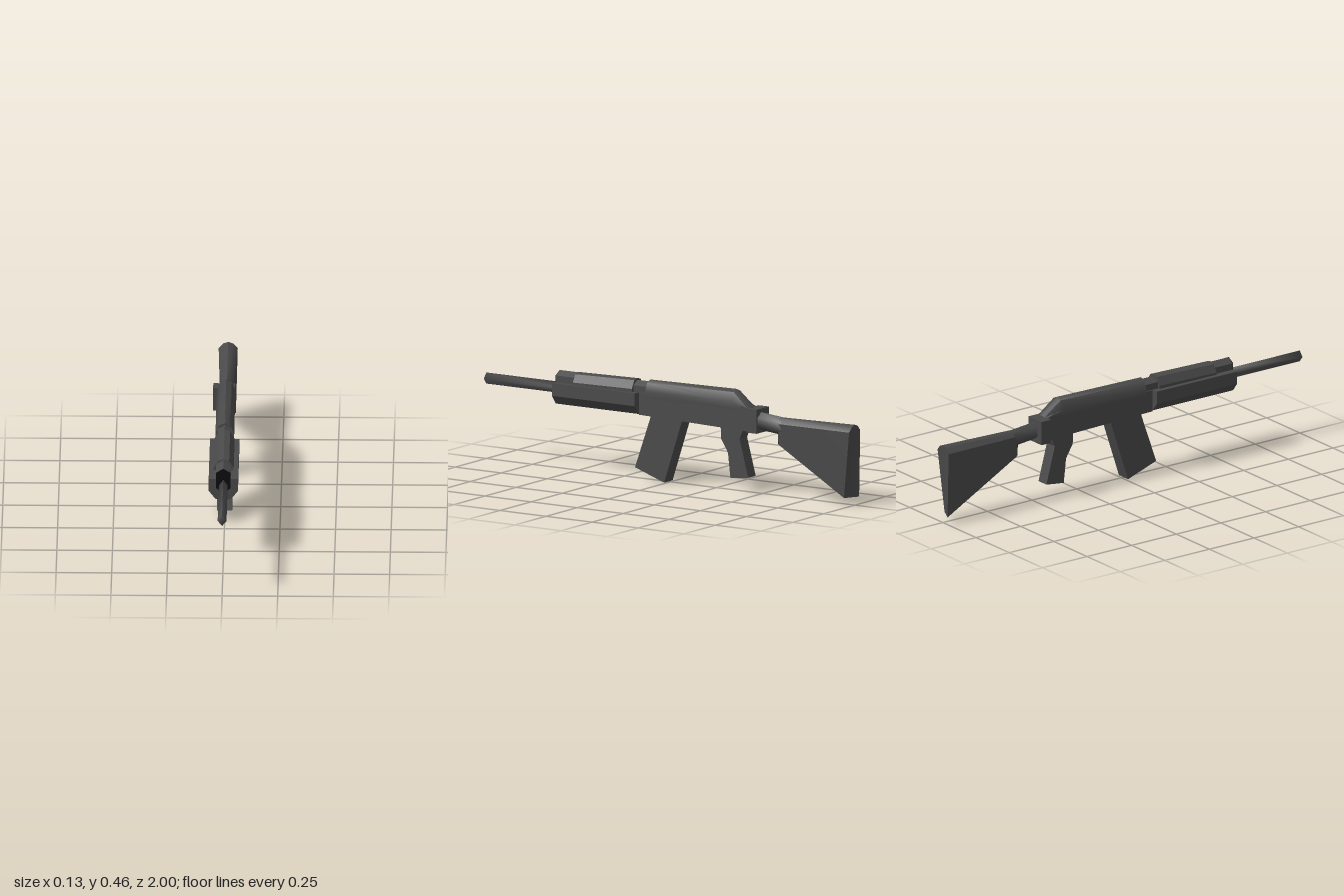
import * as THREE from 'three';
import { toCreasedNormals } from 'three/addons/utils/BufferGeometryUtils.js';

// Mirror a half outline (bottom to top, x >= 0) into a closed ring at depth z
function ring(z, half) {
  const left = half.filter(p => p[0] > 0).reverse().map(([x, y]) => [-x, y]);
  return [...half, ...left].map(([x, y, dz = 0]) => [x, y, z + dz]);
}

// Skin rings ordered from back to front, with capped ends
function loft(rings, crease = 0.1) {
  const v = [];
  const tri = (a, b, c) => v.push(...a, ...b, ...c);
  const n = rings[0].length;
  for (let r = 0; r < rings.length - 1; r++) {
    for (let i = 0; i < n; i++) {
      const j = (i + 1) % n, A = rings[r], B = rings[r + 1];
      tri(A[i], A[j], B[j]);
      tri(A[i], B[j], B[i]);
    }
  }
  const back = rings[0], front = rings[rings.length - 1];
  for (let i = 1; i < n - 1; i++) {
    tri(back[0], back[i + 1], back[i]);
    tri(front[0], front[i], front[i + 1]);
  }
  const g = new THREE.BufferGeometry();
  g.setAttribute('position', new THREE.Float32BufferAttribute(v, 3));
  g.computeVertexNormals();
  return toCreasedNormals(g, crease);
}

// Side outline given as [z, y], extruded across the width
function sidePlate(points, width) {
  const shape = new THREE.Shape(points.map(p => new THREE.Vector2(...p)));
  const g = new THREE.ExtrudeGeometry(shape, { depth: width, bevelEnabled: false });
  return g.translate(0, 0, -width / 2).rotateY(-Math.PI / 2);
}

export function createModel() {
  const group = new THREE.Group();
  const metal = new THREE.MeshStandardMaterial({ color: 0x4a4a4a });
  metal.name = 'dark grey metal';
  const black = new THREE.MeshStandardMaterial({ color: 0x0e0e0e });
  black.name = 'black';
  const add = (name, geometry, material = metal) => {
    const mesh = new THREE.Mesh(geometry, material);
    mesh.name = name;
    group.add(mesh);
    return mesh;
  };
  // Straight run of one section between two depths
  const prism = (half, z0, z1, crease) => loft([ring(z0, half), ring(z1, half)], crease);

  // Barrel with a diamond section
  add('barrel', prism([[0, 0.345], [0.02, 0.37], [0, 0.396]], 0.55, 1, 1.7));

  // Lower handguard with chamfered underside
  add('lowerHandguard', prism(
    [[0.035, 0.302], [0.066, 0.342], [0.066, 0.4]], 0.15, 0.6));

  // Hexagonal gas tube and its dark front face
  const tube = [[0, 0.33], [0.033, 0.356], [0.033, 0.43], [0, 0.45]];
  add('gasTube', prism(tube, 0.08, 0.6));
  add('gasTubeMouth', prism(tube, 0.599, 0.602), black);

  // Upper handguard
  add('upperHandguard', loft([
    ring(0.18, [[0.045, 0.395], [0.045, 0.415], [0.025, 0.452], [0, 0.458]]),
    ring(0.5, [[0.045, 0.395], [0.045, 0.41], [0.025, 0.445], [0, 0.452]]),
  ]));

  // Receiver body
  add('receiver', loft([
    ring(-0.44, [[0.037, 0.285], [0.037, 0.39]]),
    ring(-0.38, [[0.038, 0.287], [0.038, 0.41]]),
    ring(0.145, [[0.04, 0.3], [0.04, 0.4]]),
  ]));

  // Rounded top cover sloping down at the rear
  add('receiverCover', loft([
    ring(-0.445, [[0.034, 0.38], [0.034, 0.385], [0.02, 0.39], [0, 0.392]]),
    ring(-0.36, [[0.04, 0.38], [0.042, 0.415], [0.025, 0.455], [0, 0.466]]),
    ring(0.11, [[0.04, 0.38], [0.042, 0.412], [0.025, 0.448], [0, 0.459]]),
  ], 0.75));

  // Offset rear block
  add('rearBlock', new THREE.BoxGeometry(0.098, 0.11, 0.055))
    .position.set(-0.011, 0.335, -0.465);

  // Neck between receiver and stock
  add('stockNeck', loft([
    ring(-0.62, [[0, 0.28], [0.028, 0.3], [0.028, 0.342], [0, 0.362]]),
    ring(-0.49, [[0, 0.292], [0.03, 0.312], [0.03, 0.352], [0, 0.374]]),
  ], 1.2));

  // Shoulder stock with ridged top and raked butt
  add('stock', loft([
    ring(-1, [[0.035, 0.036, 0.035], [0.043, 0.34, 0.002], [0.022, 0.363], [0, 0.37]]),
    ring(-0.6, [[0.022, 0.24], [0.028, 0.335], [0.014, 0.356], [0, 0.362]]),
  ], 0.6));
  add('stockMouth', prism(
    [[0.021, 0.242], [0.027, 0.335], [0.013, 0.355], [0, 0.361]], -0.602, -0.598), black);

  // Slanted magazine
  add('magazine', sidePlate(
    [[0.08, 0.31], [0.17, 0.056], [0.012, 0.002], [-0.09, 0.31]], 0.068));

  // Pistol grip
  add('grip', sidePlate([
    [-0.292, 0.295], [-0.295, 0.235], [-0.332, 0.175], [-0.345, 0.06],
    [-0.442, 0.072], [-0.395, 0.245], [-0.415, 0.295],
  ], 0.06));

  return group;
}
